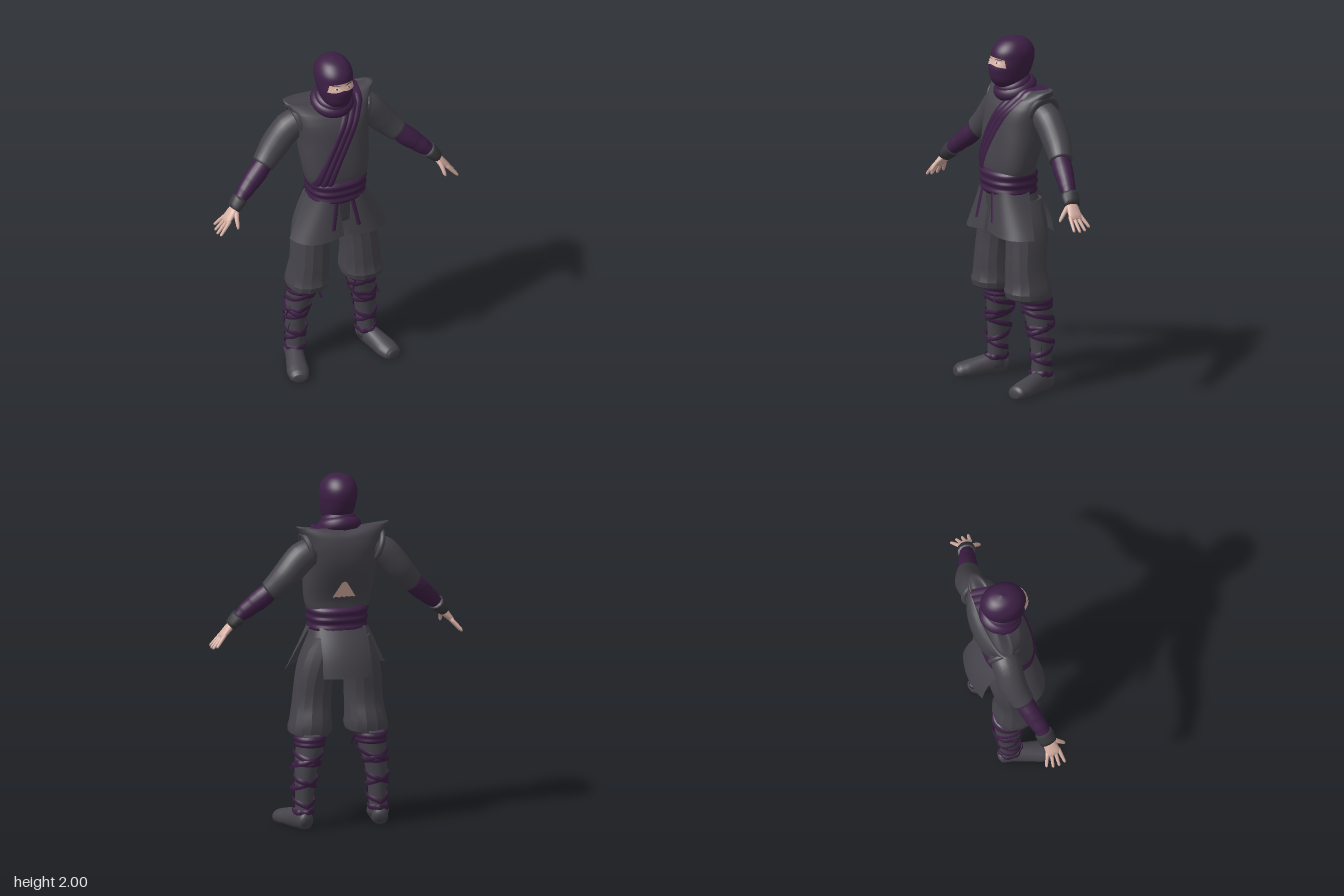
import * as THREE from 'three';
import { toCreasedNormals } from 'three/addons/utils/BufferGeometryUtils.js';

const mat = (name, color) => {
  const m = new THREE.MeshStandardMaterial({ color, side: THREE.DoubleSide });
  m.name = name;
  return m;
};

// Skin a list of closed rings (arrays of Vector3), closing both ends
function loft(rings) {
  const n = rings[0].length;
  const close = r => { const c = r.reduce((a, p) => a.add(p), new THREE.Vector3()).divideScalar(n); return r.map(() => c); };
  const all = [close(rings[0]), ...rings, close(rings[rings.length - 1])];
  const idx = [];
  for (let i = 0; i < all.length - 1; i++) for (let j = 0; j < n; j++) {
    const a = i * n + j, b = i * n + (j + 1) % n;
    idx.push(a, a + n, b, b, a + n, b + n);
  }
  const g = new THREE.BufferGeometry().setFromPoints(all.flat());
  g.setIndex(idx);
  g.computeVertexNormals();
  return g;
}

// Open sheet from fn(u, v), u in -1..1, v in 0..1
function sheet(fn, nu = 12, nv = 12) {
  const pts = [], idx = [];
  for (let i = 0; i <= nv; i++) for (let j = 0; j <= nu; j++) {
    pts.push(new THREE.Vector3(...fn(2 * j / nu - 1, i / nv)));
    if (i < nv && j < nu) {
      const a = i * (nu + 1) + j, b = a + nu + 1;
      idx.push(a, a + 1, b, a + 1, b + 1, b);
    }
  }
  const g = new THREE.BufferGeometry().setFromPoints(pts);
  g.setIndex(idx);
  g.computeVertexNormals();
  return g;
}

// Upright body from rows [y, centre x, half width, front z, back z]
function profile(rows, p = 2, n = 40, sub = 3) {
  const spline = new THREE.CubicInterpolant(rows.map(r => r[0]), rows.flatMap(r => r.slice(1)), 4);
  const at = y => { const [cx, hx, f, b] = spline.evaluate(y); return { cx, hx, cz: (f + b) / 2, hz: (f - b) / 2 }; };
  const pow = t => Math.sign(t) * Math.abs(t) ** (2 / p);
  const point = (y, a, off = 0) => {
    const s = at(y);
    return new THREE.Vector3(s.cx + (s.hx + off) * pow(Math.cos(a)), y, s.cz + (s.hz + off) * pow(Math.sin(a)));
  };
  const ring = y => Array.from({ length: n }, (_, j) => point(y, j / n * 2 * Math.PI));
  const rings = [];
  rows.forEach((r, i) => {
    if (!i) return rings.push(ring(r[0]));
    for (let k = 1; k <= sub; k++) rings.push(ring(THREE.MathUtils.lerp(rows[i - 1][0], r[0], k / sub)));
  });
  // z of the surface at x, y; side 1 is the front, -1 the back
  const z = (x, y, off, side = 1) => {
    const s = at(y), q = Math.min(1, Math.abs((x - s.cx) / s.hx));
    return s.cz + side * (s.hz * (1 - q ** p) ** (1 / p) + off);
  };
  return { rings, point, z };
}

// Sweep elliptical sections along points [x, y, z, radius up, radius sideways]
function sweep(pts, ref, n = 16, sub = 4, floor = -1) {
  const curve = new THREE.CatmullRomCurve3(pts.map(p => new THREE.Vector3(p[0], p[1], p[2])));
  const steps = (pts.length - 1) * sub, rings = [];
  for (let i = 0; i <= steps; i++) {
    const t = i / steps, k = Math.min(pts.length - 2, Math.floor(i / sub)), f = i / sub - k;
    const ru = THREE.MathUtils.lerp(pts[k][3], pts[k + 1][3], f), rs = THREE.MathUtils.lerp(pts[k][4], pts[k + 1][4], f);
    const c = curve.getPoint(t), d = curve.getTangent(t);
    const side = ref.clone().addScaledVector(d, -ref.dot(d)).normalize(), up = d.clone().cross(side);
    rings.push(Array.from({ length: n }, (_, j) => {
      const a = j / n * 2 * Math.PI;
      const q = c.clone().addScaledVector(up, ru * Math.cos(a)).addScaledVector(side, rs * Math.sin(a));
      q.y = Math.max(floor, q.y);
      return q;
    }));
  }
  return loft(rings);
}

function mirrored(geo) {
  const g = geo.clone().scale(-1, 1, 1);
  const idx = g.index ? [...g.index.array] : Array.from({ length: g.attributes.position.count }, (_, i) => i);
  g.setIndex(idx.reverse());
  return g;
}

export function createModel() {
  const root = new THREE.Group();
  const cloth = mat('charcoal cloth', 0x45434a), purple = mat('purple cloth', 0x3c1f44), skin = mat('skin', 0xd6aea2);
  const guard = mat('dark guard', 0x38373c), white = mat('eye white', 0xd8d2ce), dark = mat('dark brown', 0x3a2c28);
  const add = (name, geo, m) => { const o = new THREE.Mesh(geo, m); o.name = name; root.add(o); };
  const pair = (name, geo, m) => { add('left ' + name, geo, m); add('right ' + name, mirrored(geo), m); };
  const Z = new THREE.Vector3(0, 0, 1), X = new THREE.Vector3(1, 0, 0);

  // Hooded head with eye opening
  const head = profile([[1.715, 0, .04, .09, -.01], [1.73, 0, .062, .115, -.045], [1.76, 0, .082, .14, -.07], [1.8, 0, .093, .15, -.096],
    [1.84, 0, .1, .153, -.111], [1.88, 0, .104, .138, -.12], [1.92, 0, .102, .131, -.118], [1.95, 0, .09, .113, -.104],
    [1.975, 0, .07, .084, -.08], [1.99, 0, .045, .053, -.052], [2, 0, .006, .006, -.006]], 2.1);
  add('hood', loft(head.rings), purple);
  const onFace = (x, y, off) => [x, y, head.z(x, y, off)];
  add('eye opening', sheet((u, v) => {
    const low = 1.843 + .014 * (1 - Math.abs(u)), high = 1.897 - .01 * u * u;
    return onFace(u * (.081 - .012 * v), low + (high - low) * v, .003);
  }, 16, 6), skin);
  const disc = (cx, cy, rx, ry, off) => sheet((u, v) => onFace(cx + rx * v * Math.cos(u * Math.PI), cy + ry * v * Math.sin(u * Math.PI), off), 16, 3);
  pair('eye', disc(.036, 1.871, .016, .006, .005), white);
  pair('iris', disc(.036, 1.871, .005, .005, .007), dark);
  pair('eyebrow', sheet((u, v) => onFace(.038 + u * .021, 1.886 + .004 * v - .003 * u * u, .005), 8, 2), dark);

  // Scarf rolls around the neck
  for (const [r, t, y, z, tilt] of [[.083, .041, 1.703, -.008, .32], [.068, .034, 1.732, .004, .36]]) {
    const g = new THREE.TorusGeometry(r, t, 14, 36).rotateX(Math.PI / 2 + tilt);
    add('scarf roll', g.translate(0, y, z), purple);
  }
  add('neck', new THREE.CylinderGeometry(.07, .09, .12, 24).translate(0, 1.71, -.005), purple);

  // Vest with flared shoulders, the top edge dipping towards the neck and chest
  const vest = profile([[1.2, 0, .16, .15, -.085], [1.25, 0, .178, .16, -.085], [1.3, 0, .188, .16, -.092], [1.4, 0, .199, .15, -.13],
    [1.5, 0, .205, .135, -.165], [1.6, 0, .22, .11, -.175], [1.66, 0, .232, .07, -.165], [1.7, 0, .25, .035, -.15],
    [1.73, 0, .27, -.005, -.125]], 2.5, 48);
  for (const p of vest.rings.flat()) {
    const w = Math.max(0, (p.y - 1.66) / .07);
    p.y -= w * (.03 * (1 - Math.abs(p.x) / .27) + .2 * Math.max(0, p.z + .08));
  }
  const rim = vest.rings[vest.rings.length - 1];
  const inset = (k, drop) => rim.map(p => new THREE.Vector3(p.x * k, p.y - drop, -.06 + (p.z + .06) * k));
  add('vest', loft([...vest.rings, inset(.93, .004), inset(.8, .012), inset(.35, .016)]), cloth);
  pair('armhole edge', new THREE.TorusGeometry(.086, .016, 10, 32).rotateY(Math.PI / 2).rotateZ(-.3).translate(.2, 1.595, -.06), cloth);
  add('back opening', sheet((u, v) => {
    const x = u * (.066 - .05 * v) + .008 * v, y = 1.312 + .1 * v + .006 * (1 - v) * Math.abs(Math.sin(u * 7)) - .01 * v * Math.abs(u);
    return [x, y, vest.z(x, y, .004, -1)];
  }, 20, 10), skin);

  // Pleated sash running over the left shoulder
  add('shoulder sash', sheet((u, v) => {
    const fold = .004 + .006 * Math.abs(Math.cos(u * Math.PI * 1.5)), t = Math.min(1, v / .8), s = Math.max(0, (v - .8) / .2);
    const y = 1.235 + .445 * t, x = -.12 + .225 * t ** 1.25 + u * (.05 + .01 * t) + .03 * s;
    const z = vest.z(x, y, fold);
    return s ? [x, y + .034 * Math.sin(Math.min(1, s * 3) * Math.PI / 2) + fold / 2, z + (-.12 - z) * s] : [x, y, z];
  }, 36, 50), purple);

  // Wound waist sash and its hanging ends
  const waist = profile([[1.11, 0, .155, .16, -.095], [1.13, 0, .168, .178, -.108], [1.155, 0, .163, .17, -.1], [1.18, 0, .172, .18, -.11],
    [1.2, 0, .167, .172, -.103], [1.23, 0, .175, .178, -.108], [1.252, 0, .165, .16, -.09]], 2.4);
  add('waist sash', loft(waist.rings), purple);
  for (const [x0, x1] of [[-.055, -.082], [.042, .072]])
    add('sash end', sheet((u, v) => [x0 + (x1 - x0) * v + u * .012, 1.13 - .165 * v, .18 + .02 * v - .004 * u * u], 4, 6), purple);

  // Hips, front skirt panels and back flap
  add('hips', loft(profile([[.92, 0, .05, .06, -.06], [.95, 0, .14, .11, -.11], [1.02, 0, .178, .13, -.12], [1.08, 0, .168, .14, -.112],
    [1.14, 0, .155, .15, -.09]], 2.4).rings), cloth);
  const arc = (a, b, c, t) => (1 - t) * (1 - t) * a + 2 * t * (1 - t) * b + t * t * c;
  pair('skirt panel', sheet((u, v) => {
    const t = (u + 1) / 2, mix = THREE.MathUtils.lerp;
    return [mix(arc(.035, .16, .165, t), arc(.015, .25, .29, t), v), mix(1.14, .888 + .025 * (1 - t) ** 4, v),
      mix(arc(.16, .19, .01, t), arc(.19, .235, .06, t), v)];
  }, 16, 8), cloth);
  add('back flap', sheet((u, v) => [u * (.135 + .01 * v), 1.14 - .27 * v, -.098 - .105 * v + .03 * u * u - .02 * Math.sin(v * Math.PI)], 14, 10), cloth);

  // Baggy pleated trousers
  const trousers = profile([[.515, .172, .09, .07, -.1], [.524, .168, .104, .115, -.107], [.537, .165, .118, .142, -.11], [.6, .16, .115, .14, -.113],
    [.7, .152, .106, .138, -.09], [.85, .14, .105, .128, -.108], [.95, .115, .11, .13, -.12], [1.08, .085, .085, .12, -.115]], 2.3, 14, 2);
  pair('trouser leg', toCreasedNormals(loft(trousers.rings), .38), cloth);

  // Shin, crossed wrappings and shoe
  const shin = profile([[.04, .222, .05, .03, -.092], [.12, .215, .048, .022, -.093], [.22, .212, .053, .02, -.1], [.35, .202, .064, .032, -.112],
    [.45, .182, .076, .045, -.115], [.54, .175, .082, .055, -.115]], 2, 24);
  pair('shin', loft(shin.rings), cloth);
  const knee = profile([[.468, .18, .082, .052, -.119], [.48, .179, .088, .059, -.124], [.495, .178, .086, .056, -.121], [.51, .177, .092, .062, -.124],
    [.53, .175, .09, .06, -.115]], 2, 24);
  pair('knee band', loft(knee.rings), purple);
  const band = (y0, y1, turns, start) => sheet((u, v) => {
    const y = y0 + (y1 - y0) * v + u * .015;
    return shin.point(y, start + turns * 2 * Math.PI * v, .008 + .004 * (1 - u * u) + .004 * Math.sin(v * 37)).toArray();
  }, 4, 90);
  for (const dir of [1, -1]) pair('crossed wrapping', band(.46, .13, 2.5 * dir, Math.PI / 2), purple);
  for (const [y, tilt] of [[.36, .02], [.105, -.01]]) pair('leg band', band(y, y + tilt, 1, 0), purple);
  pair('knot end', sheet((u, v) => [.115 - .02 * v + u * .007, .495 - .06 * v, .055 + .01 * v], 2, 4), purple);
  pair('loose end', sheet((u, v) => [.25 + .035 * v, .38 - .05 * v + u * .011, -.01 + .01 * v], 2, 4), purple);
  pair('lower loose end', sheet((u, v) => [.25 + .03 * v, .27 - .05 * v + u * .01, -.02 + .03 * v], 2, 4), purple);
  pair('shoe', sweep([[.213, .04, -.105, .015, .02], [.216, .045, -.09, .05, .042], [.227, .05, -.02, .066, .05], [.25, .04, .06, .058, .056],
    [.27, .03, .13, .05, .063], [.283, .025, .178, .042, .054], [.288, .025, .198, .024, .036]], X.clone().negate(), 20, 4, 0), cloth);

  // Sleeve, forearm and wrist guard
  pair('sleeve', sweep([[.15, 1.6, -.06, .07, .075], [.24, 1.55, -.066, .085, .082], [.325, 1.455, -.064, .08, .08], [.375, 1.4, -.05, .071, .07],
    [.412, 1.362, -.035, .064, .064]], Z, 24), cloth);
  pair('forearm', sweep([[.385, 1.39, -.04, .05, .05], [.45, 1.328, -.02, .057, .055], [.49, 1.294, -.007, .054, .052], [.505, 1.281, -.002, .05, .049],
    [.54, 1.25, .011, .047, .046], [.555, 1.236, .016, .042, .042], [.6, 1.195, .03, .03, .036]], Z, 20), purple);
  pair('wrist guard', sweep([[.572, 1.222, .02, .044, .05], [.592, 1.2, .026, .041, .052], [.622, 1.168, .034, .032, .046]], Z, 12, 2), guard);

  // Hand with splayed fingers
  pair('palm', sweep([[.6, 1.19, .03, .02, .03], [.635, 1.148, .038, .021, .038], [.665, 1.115, .042, .016, .042], [.678, 1.1, .043, .008, .036]], Z, 16), skin);
  for (let i = 0; i < 4; i++) {
    const z = .01 + i * .022, tip = -.018 + i * .036, len = [.8, .97, 1, .92][i];
    const at = (f, r) => [.66 + .07 * f * len, 1.118 - .08 * f * len, z + (tip - z) * f, r, r];
    pair('finger', sweep([at(0, .011), at(.5, .01), at(.92, .008), at(1, .003)], Z, 8, 2), skin);
  }
  pair('thumb', sweep([[.61, 1.17, .05, .014, .016], [.625, 1.135, .09, .012, .013], [.63, 1.1, .118, .009, .01], [.633, 1.088, .126, .003, .004]], X, 8, 3), skin);
  return root;
}
